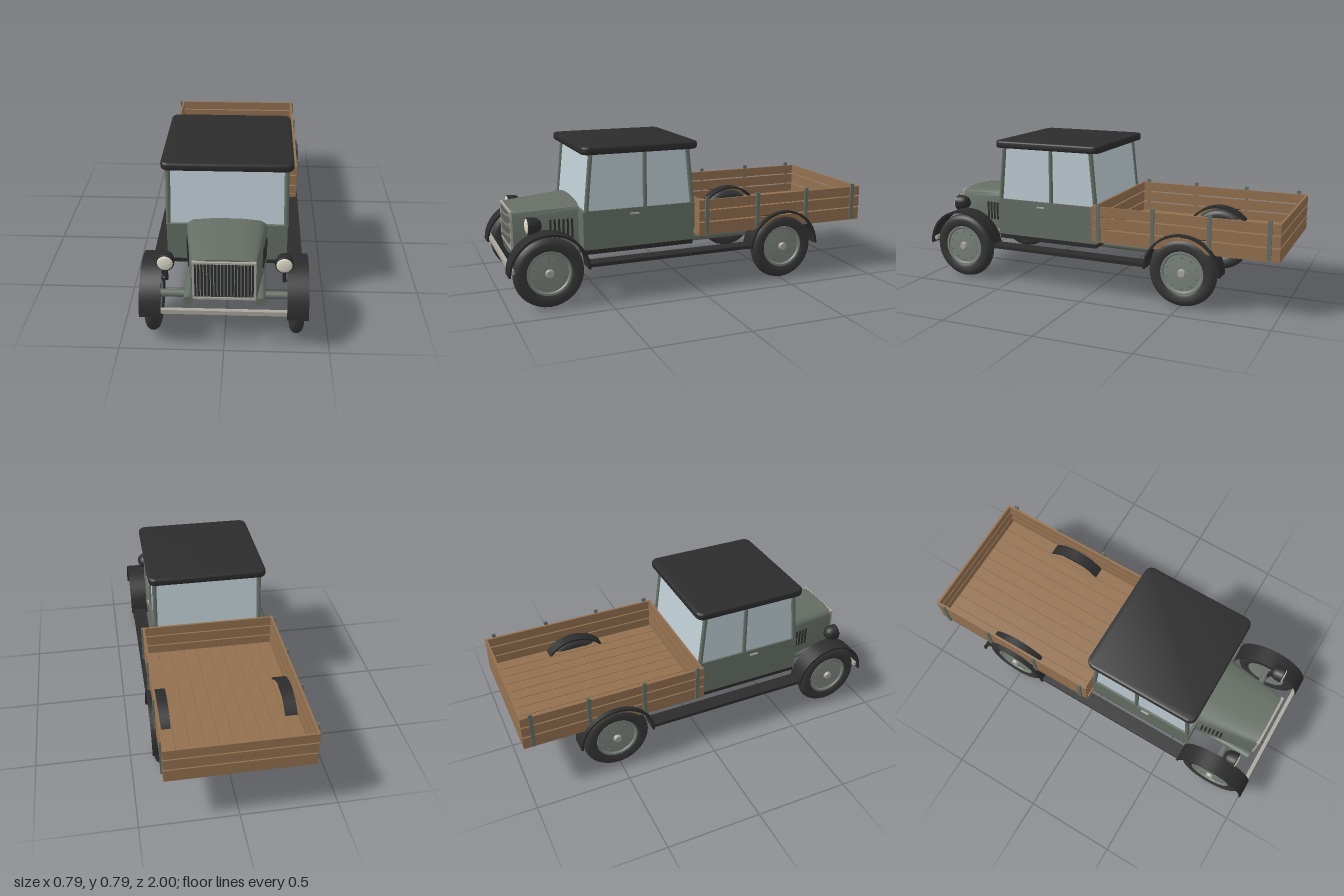
import * as THREE from 'three';
import { toCreasedNormals } from 'three/addons/utils/BufferGeometryUtils.js';

const mat = (name, color, side = THREE.FrontSide) => {
  const m = new THREE.MeshStandardMaterial({ color, side });
  m.name = name;
  return m;
};

export function createModel() {
  const green = mat('greyGreenPaint', 0x656e65);
  const black = mat('black', 0x2c2c2d);
  const rubber = mat('rubber', 0x353535);
  const wood = mat('wood', 0x93704f);
  const glass = mat('glass', 0xbfced5);
  const metal = mat('paleMetal', 0xa9a69d);
  const steel = mat('steel', 0x7b837c);
  const cream = mat('lampGlass', 0xdedac8);

  const model = new THREE.Group();
  model.name = 'flatbedTruck';

  const add = (name, geo, material, x = 0, y = 0, z = 0, parent = model) => {
    const m = new THREE.Mesh(geo, material);
    m.name = name;
    m.position.set(x, y, z);
    parent.add(m);
    return m;
  };
  // box given by its limits
  const box = (name, material, x0, x1, y0, y1, z0, z1) =>
    add(name, new THREE.BoxGeometry(x1 - x0, y1 - y0, z1 - z0), material, (x0 + x1) / 2, (y0 + y1) / 2, (z0 + z1) / 2);
  // round bar between two points
  const bar = (name, material, a, b, r, sides = 12) => {
    const p = new THREE.Vector3(...a), q = new THREE.Vector3(...b);
    const m = add(name, new THREE.CylinderGeometry(r, r, p.distanceTo(q), sides), material);
    m.position.copy(p).add(q).multiplyScalar(0.5);
    m.quaternion.setFromUnitVectors(new THREE.Vector3(0, 1, 0), q.sub(p).normalize());
    return m;
  };
  const sides = [1, -1];

  // ---- chassis
  for (const s of sides) {
    bar('frameRail', green, [s * 0.17, 0.233, 0.93], [s * 0.17, 0.233, -0.6], 0.024);
    box('runningBoard', black, s > 0 ? 0.305 : -0.385, s > 0 ? 0.385 : -0.305, 0.193, 0.211, -0.32, 0.6);
  }
  const axleZ = [0.795, -0.51];
  for (const z of axleZ) bar('axle', green, [-0.33, 0.18, z], [0.33, 0.18, z], 0.019);
  box('bumper', metal, -0.38, 0.38, 0.2, 0.222, 0.97, 0.99);

  // ---- wheels and mudguards
  const P = (r, w) => new THREE.Vector2(r, w);
  const tyreGeo = new THREE.LatheGeometry([
    P(0.112, -0.022), P(0.125, -0.031), P(0.15, -0.033), P(0.167, -0.026), P(0.177, -0.013), P(0.18, 0),
    P(0.177, 0.013), P(0.167, 0.026), P(0.15, 0.033), P(0.125, 0.031), P(0.112, 0.022)], 36);
  const discGeo = toCreasedNormals(new THREE.LatheGeometry([
    P(0, -0.02), P(0.113, -0.024), P(0.116, 0), P(0.114, 0.026), P(0.104, 0.026), P(0.098, 0.018), P(0.05, 0.022), P(0, 0.022)], 36), 0.5);
  const capGeo = new THREE.CylinderGeometry(0.018, 0.024, 0.018, 16);
  const boltGeo = new THREE.CylinderGeometry(0.005, 0.005, 0.008, 6);
  const arch = new THREE.Shape();
  arch.absarc(0, 0, 0.205, 0.03, Math.PI - 0.03, false);
  arch.absarc(0, 0, 0.194, Math.PI - 0.03, 0.03, true);
  const guardGeo = toCreasedNormals(
    new THREE.ExtrudeGeometry(arch, { depth: 0.1, bevelEnabled: false, curveSegments: 24 })
      .translate(0, 0, -0.05).rotateY(Math.PI / 2), 0.5);
  for (const s of sides) for (const z of axleZ) {
    const wheel = new THREE.Group();
    wheel.name = 'wheel';
    wheel.position.set(s * 0.345, 0.18, z);
    wheel.rotation.z = -s * Math.PI / 2;
    model.add(wheel);
    add('tyre', tyreGeo, rubber, 0, 0, 0, wheel);
    add('wheelDisc', discGeo, steel, 0, 0, 0, wheel);
    add('hubCap', capGeo, metal, 0, 0.028, 0, wheel);
    for (let i = 0; i < 10; i++) {
      const a = i * Math.PI / 5;
      add('bolt', boltGeo, green, 0.082 * Math.cos(a), 0.021, 0.082 * Math.sin(a), wheel);
    }
    add('mudguard', guardGeo, black, s * 0.344, 0.18, z);
  }

  // ---- cab
  box('cabFloor', black, -0.295, 0.295, 0.232, 0.258, 0, 0.595);
  box('cabBody', green, -0.3, 0.3, 0.257, 0.455, -0.01, 0.6);
  // glasshouse leans inwards at front and back
  const glassGeo = new THREE.BoxGeometry(0.58, 0.3, 0.585);
  const gp = glassGeo.attributes.position;
  for (let i = 0; i < gp.count; i++) if (gp.getY(i) > 0) gp.setZ(i, gp.getZ(i) * 0.89);
  glassGeo.computeVertexNormals();
  add('windows', glassGeo, glass, 0, 0.604, 0.292);
  for (const s of sides) {
    const x0 = s * 0.293, x1 = s * 0.289;
    bar('frontPillar', green, [x0, 0.45, 0.584], [x1, 0.755, 0.553], 0.012);
    bar('rearPillar', green, [x0, 0.45, 0.002], [x1, 0.755, 0.032], 0.012);
    bar('doorPillar', green, [x0, 0.45, 0.268], [x1, 0.755, 0.268], 0.011);
    box('doorHandle', metal, s * 0.304 - 0.005, s * 0.304 + 0.005, 0.426, 0.434, 0.305, 0.35);
    box('windowSill', green, s * 0.298 - 0.005, s * 0.298 + 0.005, 0.448, 0.46, 0, 0.59);
  }
  // roof slab with rounded corners
  const w = 0.311, d = 0.303, r = 0.03;
  const roof = new THREE.Shape();
  roof.absarc(w - r, d - r, r, 0, Math.PI / 2);
  roof.absarc(-w + r, d - r, r, Math.PI / 2, Math.PI);
  roof.absarc(-w + r, -d + r, r, Math.PI, Math.PI * 1.5);
  roof.absarc(w - r, -d + r, r, Math.PI * 1.5, Math.PI * 2);
  const roofGeo = new THREE.ExtrudeGeometry(roof, {
    depth: 0.018, bevelThickness: 0.011, bevelSize: 0.011, bevelSegments: 3, curveSegments: 6 });
  add('roof', toCreasedNormals(roofGeo.rotateX(-Math.PI / 2), 0.7), black, 0, 0.759, 0.29);

  // ---- bonnet lofted from radiator to cowl
  const ring = (half, z) => [...half, ...half.filter(p => p[0] > 0).reverse().map(([x, y]) => [-x, y])].map(([x, y]) => [x, y, z]);
  const front = ring([[0.153, 0.25], [0.153, 0.425], [0.147, 0.446], [0.13, 0.457], [0.07, 0.463], [0, 0.465]], 0.93);
  const back = ring([[0.2, 0.25], [0.2, 0.445], [0.19, 0.466], [0.165, 0.481], [0.08, 0.489], [0, 0.491]], 0.595);
  const tri = [], n = front.length;
  for (let i = 0; i < n; i++) {
    const j = (i + 1) % n;
    tri.push(front[i], back[i], back[j], front[i], back[j], front[j]);
    if (i > 0 && i < n - 1) tri.push(front[0], front[i], front[j], back[0], back[j], back[i]);
  }
  const hoodGeo = new THREE.BufferGeometry();
  hoodGeo.setAttribute('position', new THREE.Float32BufferAttribute(tri.flat(), 3));
  add('bonnet', toCreasedNormals(hoodGeo, 0.6), green);
  // side louvres
  for (const s of sides) for (let i = 0; i < 6; i++) {
    const z = 0.632 + i * 0.022;
    const m = box('louvre', black, -0.005, 0.005, 0.305, 0.405, z - 0.005, z + 0.005);
    m.position.x = s * (0.2 - (z - 0.595) * 0.14);
    m.rotation.y = -s * 0.14;
  }

  // ---- radiator
  box('radiatorCore', black, -0.14, 0.14, 0.258, 0.45, 0.925, 0.934);
  for (const s of sides) box('radiatorSide', metal, s * 0.143 - 0.005, s * 0.143 + 0.005, 0.253, 0.455, 0.925, 0.942);
  for (const y of [0.257, 0.451]) box('radiatorEdge', metal, -0.14, 0.14, y - 0.005, y + 0.005, 0.925, 0.942);
  for (let i = 0; i < 17; i++) {
    const x = (i - 8) * 0.0158;
    box('grilleBar', steel, x - 0.0022, x + 0.0022, 0.262, 0.446, 0.933, 0.939);
  }

  // ---- headlamps
  const shellGeo = new THREE.LatheGeometry([
    P(0, -0.04), P(0.02, -0.036), P(0.035, -0.022), P(0.042, 0), P(0.044, 0.03), P(0.038, 0.034), P(0, 0.034)], 14).rotateX(Math.PI / 2);
  const lensGeo = new THREE.SphereGeometry(0.038, 14, 6, 0, Math.PI * 2, 0, Math.PI / 2).scale(1, 0.25, 1).rotateX(Math.PI / 2);
  for (const s of sides) {
    add('headlampShell', toCreasedNormals(shellGeo, 0.6), black, s * 0.278, 0.408, 0.848);
    add('headlampLens', lensGeo, cream, s * 0.278, 0.408, 0.8825);
    bar('headlampPost', black, [s * 0.282, 0.272, 0.81], [s * 0.282, 0.39, 0.83], 0.009, 10);
    bar('headlampArm', black, [s * 0.282, 0.28, 0.81], [s * 0.31, 0.28, 0.81], 0.008, 8);
  }

  // ---- load bed: floor planks, side boards, posts
  const planks = 10, pitch = 0.072;
  for (let i = 0; i < planks; i++) {
    const x = (i - (planks - 1) / 2) * pitch;
    box('floorPlank', wood, x - 0.0345, x + 0.0345, 0.29, 0.312, -0.995, -0.005);
  }
  for (const [y0, y1] of [[0.292, 0.36], [0.367, 0.424], [0.431, 0.482]]) {
    for (const s of sides) box('sideBoard', wood, s * 0.363 - 0.006, s * 0.363 + 0.006, y0, y1, -1, -0.008);
    box('headBoard', wood, -0.357, 0.357, y0, y1, -0.024, -0.012);
    box('tailBoard', wood, -0.357, 0.357, y0, y1, -1, -0.988);
  }
  for (const s of sides) for (const z of [-0.05, -0.35, -0.65, -0.948])
    box('bedPost', green, s * 0.373 - 0.005, s * 0.373 + 0.005, 0.3, 0.5, z - 0.01, z + 0.01);

  return model;
}
